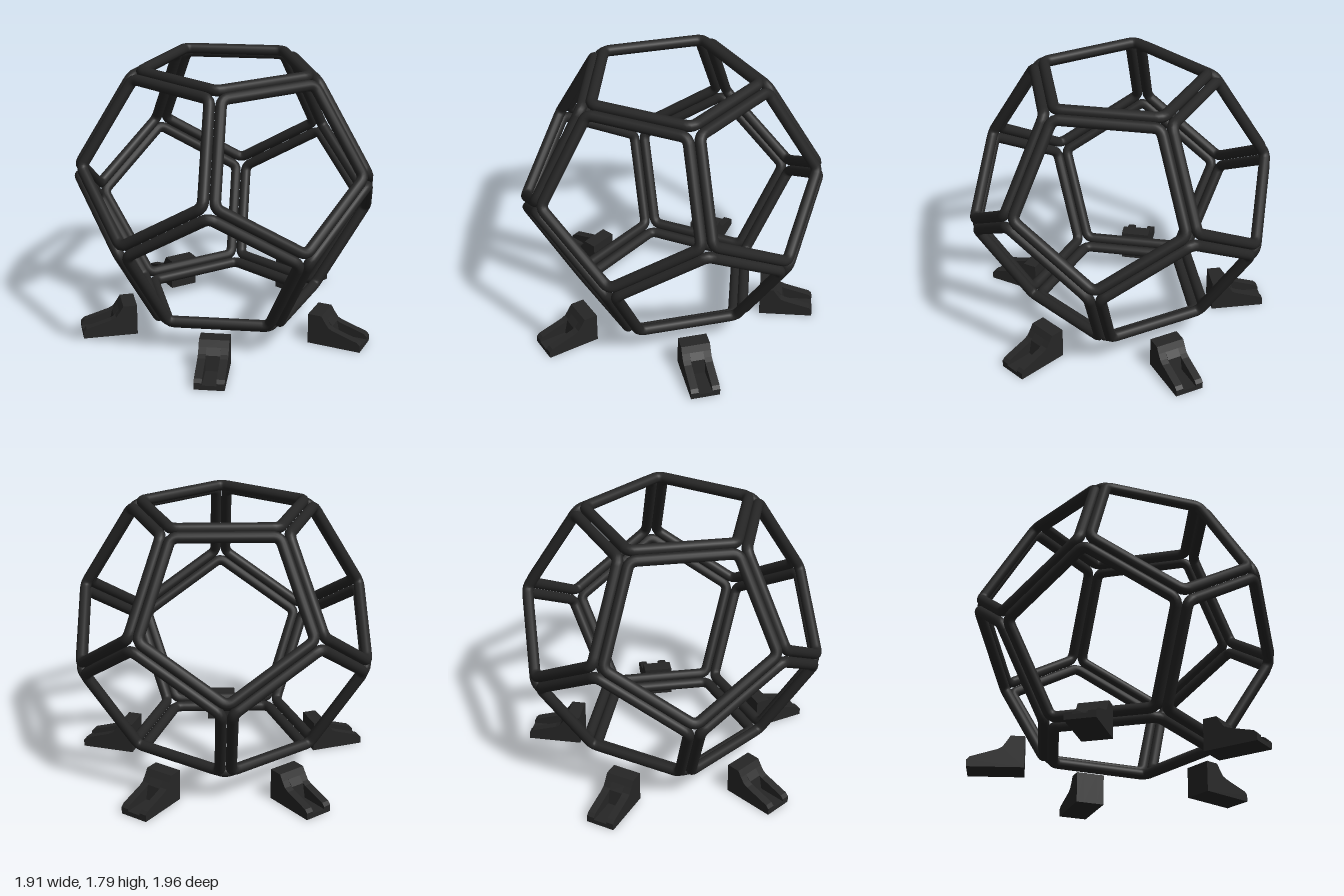
import * as THREE from 'three';

const TUBE = 0.035;      // tube radius
const INRADIUS = 0.788;  // centre of the frame to the plane of each ring
const CENTRE_Y = 0.97;
const TILT = Math.atan(2); // angle between neighbouring faces' normals
const STEP = Math.PI * 2 / 5;

// Pentagon tube with rounded corners, lying flat with one corner towards +z
function pentagonRing() {
  const radius = (INRADIUS * 0.618 - TUBE * 1.176) / Math.cos(Math.PI / 5);
  const cut = 0.045;
  const corners = [];
  for (let i = 0; i < 5; i++) {
    corners.push(new THREE.Vector3(Math.sin(i * STEP) * radius, 0, Math.cos(i * STEP) * radius));
  }
  const path = new THREE.CurvePath();
  const towards = (a, b) => a.clone().add(b.clone().sub(a).setLength(cut));
  corners.forEach((c, i) => {
    const prev = corners[(i + 4) % 5], next = corners[(i + 1) % 5];
    path.add(new THREE.QuadraticBezierCurve3(towards(c, prev), c, towards(c, next)));
    path.add(new THREE.LineCurve3(towards(c, next), towards(next, c)));
  });
  return new THREE.TubeGeometry(path, 180, TUBE, 14, true);
}

// Side profile [distance from centre, height] extruded across the foot
function slab(points, width, x) {
  const shape = new THREE.Shape(points.map(p => new THREE.Vector2(...p)));
  const g = new THREE.ExtrudeGeometry(shape, { depth: width, bevelEnabled: false });
  return g.translate(0, 0, -width / 2).rotateY(-Math.PI / 2).translate(x, 0, 0);
}

export function createModel() {
  const model = new THREE.Group();
  const material = new THREE.MeshStandardMaterial({ color: 0x262626 });

  // Twelve rings, one per face of a dodecahedron
  const frame = new THREE.Group();
  frame.name = 'frame';
  frame.position.y = CENTRE_Y;
  model.add(frame);
  const ringGeometry = pentagonRing();
  const addRing = (name, turn, tilt, spin) => {
    const ring = new THREE.Mesh(ringGeometry, material);
    ring.name = name;
    ring.rotateY(turn);
    ring.rotateX(tilt);
    ring.rotateY(spin);
    ring.translateY(INRADIUS);
    frame.add(ring);
  };
  addRing('topRing', 0, 0, 0);
  addRing('bottomRing', 0, Math.PI, 0);
  for (let i = 0; i < 5; i++) {
    addRing('upperRing', (i + 0.5) * STEP, TILT, 0);
    addRing('lowerRing', i * STEP, Math.PI - TILT, Math.PI);
  }

  // Five feet around the base: a tall heel, a sloping toe and a slot in the toe
  const side = [[0.62, 0], [0.975, 0], [0.975, 0.045], [0.955, 0.065], [0.79, 0.115],
    [0.76, 0.13], [0.735, 0.165], [0.71, 0.205], [0.62, 0.205]];
  const middle = [[0.62, 0], [0.975, 0], [0.975, 0.03], [0.79, 0.03], [0.77, 0.125],
    [0.735, 0.165], [0.71, 0.205], [0.62, 0.205]];
  const cheek = 0.05, slot = 0.09;
  const parts = [
    ['footLeftCheek', slab(side, cheek, (slot + cheek) / 2)],
    ['footRightCheek', slab(side, cheek, -(slot + cheek) / 2)],
    ['footCore', slab(middle, slot, 0)],
  ];
  for (let i = 0; i < 5; i++) {
    const foot = new THREE.Group();
    foot.name = 'foot';
    for (const [name, geometry] of parts) {
      const mesh = new THREE.Mesh(geometry, material);
      mesh.name = name;
      foot.add(mesh);
    }
    foot.rotation.y = i * STEP;
    model.add(foot);
  }
  return model;
}
